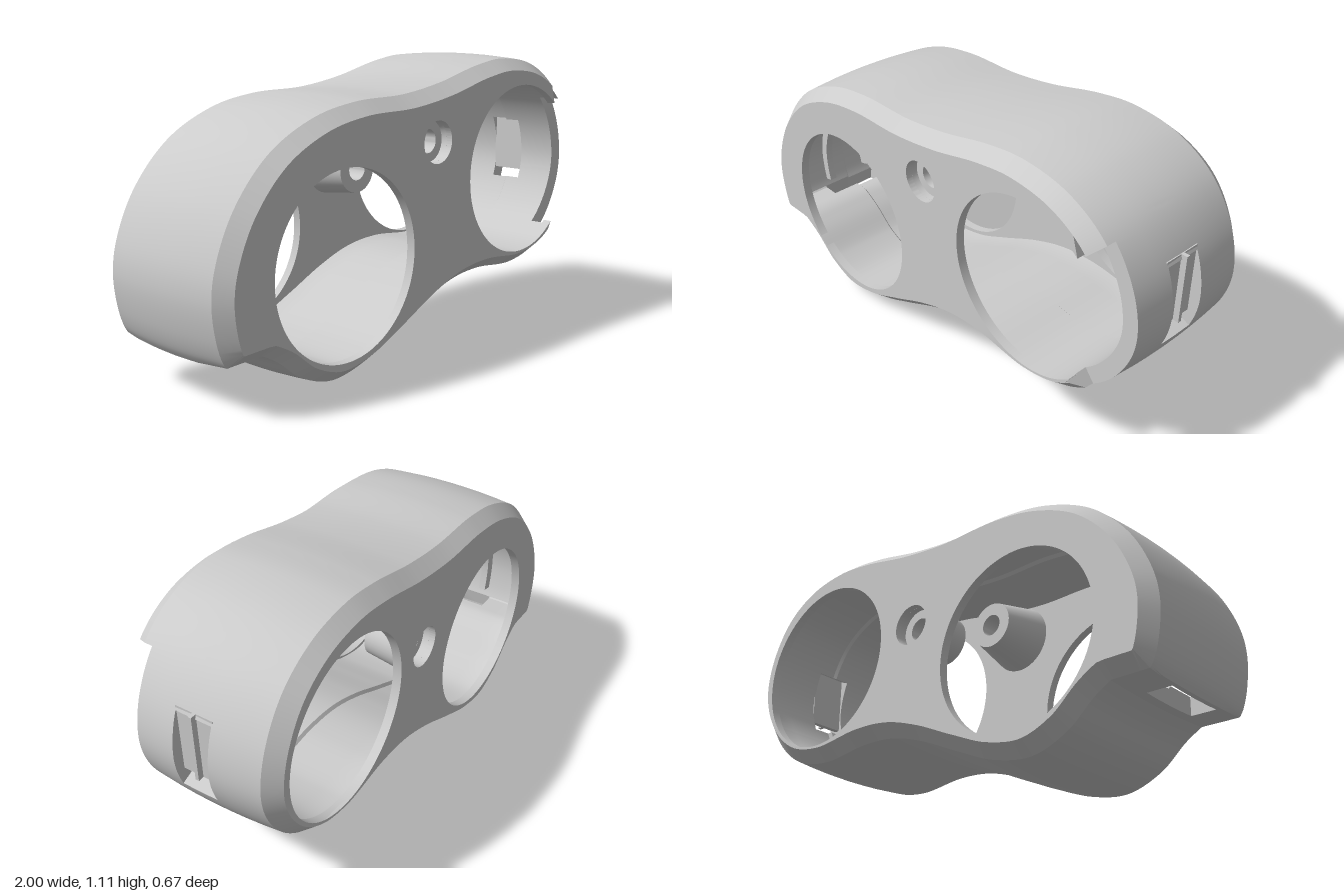
import * as THREE from 'three';
import { toCreasedNormals } from 'three/addons/utils/BufferGeometryUtils.js';

const HALF = 0.32; // half depth of the housing
const material = new THREE.MeshStandardMaterial({ color: 0xcccccc });

// Outline of the two-lobed body, counterclockwise from the notch beside the foot
function makeOutline() {
  const pts = [
    [-0.79, 0.17], [-0.73, 0.135], [-0.62, 0.05], [-0.47, 0.0], [-0.3, 0.027], [-0.13, 0.1],
    [0.05, 0.185], [0.2, 0.235], [0.35, 0.25], [0.58, 0.235], [0.75, 0.275], [0.88, 0.37],
    [0.97, 0.51], [1.0, 0.65], [0.965, 0.82], [0.86, 0.98], [0.7, 1.075], [0.5, 1.105],
    [0.33, 1.085], [0.1, 1.03], [-0.1, 1.0], [-0.35, 0.99], [-0.55, 0.95], [-0.75, 0.85],
    [-0.9, 0.69], [-0.98, 0.52], [-1.0, 0.4], [-0.985, 0.27], [-0.96, 0.195], [-0.94, 0.165],
  ].map(([x, y]) => new THREE.Vector3(x, y, 0));
  const line = new THREE.CatmullRomCurve3(pts).getSpacedPoints(400)
    .map(p => new THREE.Vector2(p.x, p.y));
  const a = line[line.length - 1], b = line[0];
  for (let i = 1; i < 16; i++) line.push(a.clone().lerp(b, i / 16));
  return line;
}
const outline = makeOutline();
const N = outline.length;

// Moves the outline inward; points that would fold over snap to the last good one
const cache = new Map();
function inset(d) {
  const key = d.toFixed(4);
  if (cache.has(key)) return cache.get(key);
  const raw = outline.map((p, i) => {
    const t = outline[(i + 1) % N].clone().sub(outline[(i + N - 1) % N]).normalize();
    return new THREE.Vector2(p.x - t.y * d, p.y + t.x * d);
  });
  const good = raw.map(q => outline.every(p => p.distanceTo(q) > d * 0.97 - 1e-4));
  let last = raw[good.lastIndexOf(true)];
  const result = raw.map((q, i) => (good[i] ? (last = q) : last));
  cache.set(key, result);
  return result;
}

// Wall that follows the outline between two inset depths, with cells left out
function wall(name, levels, outerDepth, innerDepth, filled) {
  const outer = levels.map(z => inset(outerDepth(z)));
  const inner = levels.map(z => inset(innerDepth(z)));
  const pos = [];
  const has = (i, k) => {
    if (k < 0 || k >= levels.length - 1) return false;
    const p = outline[(i + N) % N], q = outline[(i + 1 + N) % N];
    return filled((p.x + q.x) / 2, (p.y + q.y) / 2, (levels[k] + levels[k + 1]) / 2);
  };
  const quad = (a, b, c, d) => [a, b, c, a, c, d].forEach(v => pos.push(...v));
  for (let k = 0; k < levels.length - 1; k++) {
    for (let i = 0; i < N; i++) {
      if (!has(i, k)) continue;
      const j = (i + 1) % N;
      const o = (n, m) => [outer[m][n].x, outer[m][n].y, levels[m]];
      const e = (n, m) => [inner[m][n].x, inner[m][n].y, levels[m]];
      quad(o(i, k), o(j, k), o(j, k + 1), o(i, k + 1));
      quad(e(j, k), e(i, k), e(i, k + 1), e(j, k + 1));
      if (!has(i + 1, k)) quad(o(j, k), e(j, k), e(j, k + 1), o(j, k + 1));
      if (!has(i - 1, k)) quad(e(i, k), o(i, k), o(i, k + 1), e(i, k + 1));
      const ends = levels[k + 1] < HALF, starts = levels[k] > -HALF;
      if (ends && !has(i, k + 1)) quad(o(i, k + 1), o(j, k + 1), e(j, k + 1), e(i, k + 1));
      if (starts && !has(i, k - 1)) quad(o(j, k), o(i, k), e(i, k), e(j, k));
    }
  }
  const geometry = new THREE.BufferGeometry();
  geometry.setAttribute('position', new THREE.Float32BufferAttribute(pos, 3));
  const mesh = new THREE.Mesh(toCreasedNormals(geometry, 0.45), material);
  mesh.name = name;
  return mesh;
}

// Part of the right lobe's front rim that is cut away
const inNotch = (x, y) => x > 0.78 && y > 0.325 && y < 0.965;

// Flat cover with two large openings and a screw hole; a notched one is open at the right lobe
function plate(name, z, screw, notched) {
  let pts = inset(0.06).filter((p, i, all) => p.distanceTo(all[(i + N - 1) % N]) > 1e-5);
  const holes = [[-0.435, 0.425, 0.34], [...screw, 0.08]];
  if (notched) {
    const cut = i => inNotch(pts[i].x, pts[i].y);
    const start = pts.findIndex((p, i) => i > 0 && cut(i - 1) && !cut(i));
    pts = [...pts.slice(start), ...pts.slice(0, start)].filter(p => !inNotch(p.x, p.y));
    const rim = new THREE.Path().absarc(0.57, 0.645, 0.34, -0.83, 0.83, true);
    pts.push(...rim.getPoints(72));
  } else {
    holes.push([0.57, 0.645, 0.34]);
  }
  const shape = new THREE.Shape(pts);
  for (const [x, y, r] of holes) {
    shape.holes.push(new THREE.Path().absarc(x, y, r, 0, Math.PI * 2, true));
  }
  const geometry = new THREE.ExtrudeGeometry(shape, { depth: 0.035, bevelEnabled: false, curveSegments: 72 });
  const mesh = new THREE.Mesh(toCreasedNormals(geometry, 0.5), material);
  mesh.position.z = z;
  mesh.name = name;
  return mesh;
}

// Counterbored, tapered screw post on the inside of a cover
function screwBoss(name, side, [x, y], end, base) {
  const profile = [
    [0.045, end], [0.095, end], [base, 0.295], [0.08, 0.295], [0.08, 0.27], [0.045, 0.27], [0.045, end],
  ].map(([r, h]) => new THREE.Vector2(r, h));
  const mesh = new THREE.Mesh(toCreasedNormals(new THREE.LatheGeometry(profile, 40), 0.5),
    new THREE.MeshStandardMaterial({ color: 0xcccccc, side: THREE.DoubleSide }));
  mesh.rotation.x = side * Math.PI / 2;
  mesh.position.set(x, y, 0);
  mesh.name = name;
  return mesh;
}

function box(name, [w, h, d], [x, y, z]) {
  const mesh = new THREE.Mesh(new THREE.BoxGeometry(w, h, d), material);
  mesh.position.set(x, y, z);
  mesh.name = name;
  return mesh;
}

export function createModel() {
  const model = new THREE.Group();
  const body = new THREE.Group();
  body.name = 'housing';

  // Bulged, chamfered side wall with end notch, side slot and foot opening
  const levels = [-HALF, -0.265, -0.2, -0.13, -0.07, 0, 0.01, 0.073, 0.13, 0.23, 0.265, HALF];
  const outerDepth = z => (Math.abs(z) > 0.3 ? 0.06 : 0.014 * (z / 0.265) ** 2);
  const innerDepth = z => (z > 0.005 || z < -0.3 ? 0.072 : 0.06);
  body.add(wall('sideWall', levels, outerDepth, innerDepth, (x, y, z) => {
    const notch = inNotch(x, y) && z > 0.23;
    const slot = x > 0.9 && y > 0.515 && y < 0.83 && z > -0.07 && z < 0.073;
    const footOpening = x > -0.925 && x < -0.825 && y < 0.18 && y > 0.16 && Math.abs(z) < 0.13;
    return !(notch || slot || footOpening);
  }));

  // Flat latch strip and its rib in the side slot
  body.add(box('latchStrip', [0.022, 0.27, 0.15], [0.946, 0.71, 0.0015]));
  body.add(box('latchRib', [0.03, 0.27, 0.014], [0.965, 0.71, 0]));

  // Seating ribs inside the left end
  for (const z of [-0.1, 0.1]) {
    body.add(wall('seatingRib', [z - 0.015, z + 0.015], () => 0.05, () => 0.105,
      (x, y) => x < -0.75 && y > 0.25 && y < 0.8));
  }

  // Covers and their screw posts, which sit at different heights
  const frontScrew = [0.035, 0.805], backScrew = [0.065, 0.655];
  body.add(plate('frontCover', HALF - 0.035, frontScrew, true), plate('backCover', -HALF, backScrew, false));
  body.add(screwBoss('frontScrewBoss', 1, frontScrew, 0.1, 0.14));
  body.add(screwBoss('backScrewBoss', -1, backScrew, 0.12, 0.115));

  // The housing sits turned very slightly about the vertical
  body.rotation.y = 0.0135;
  model.add(body);
  return model;
}
